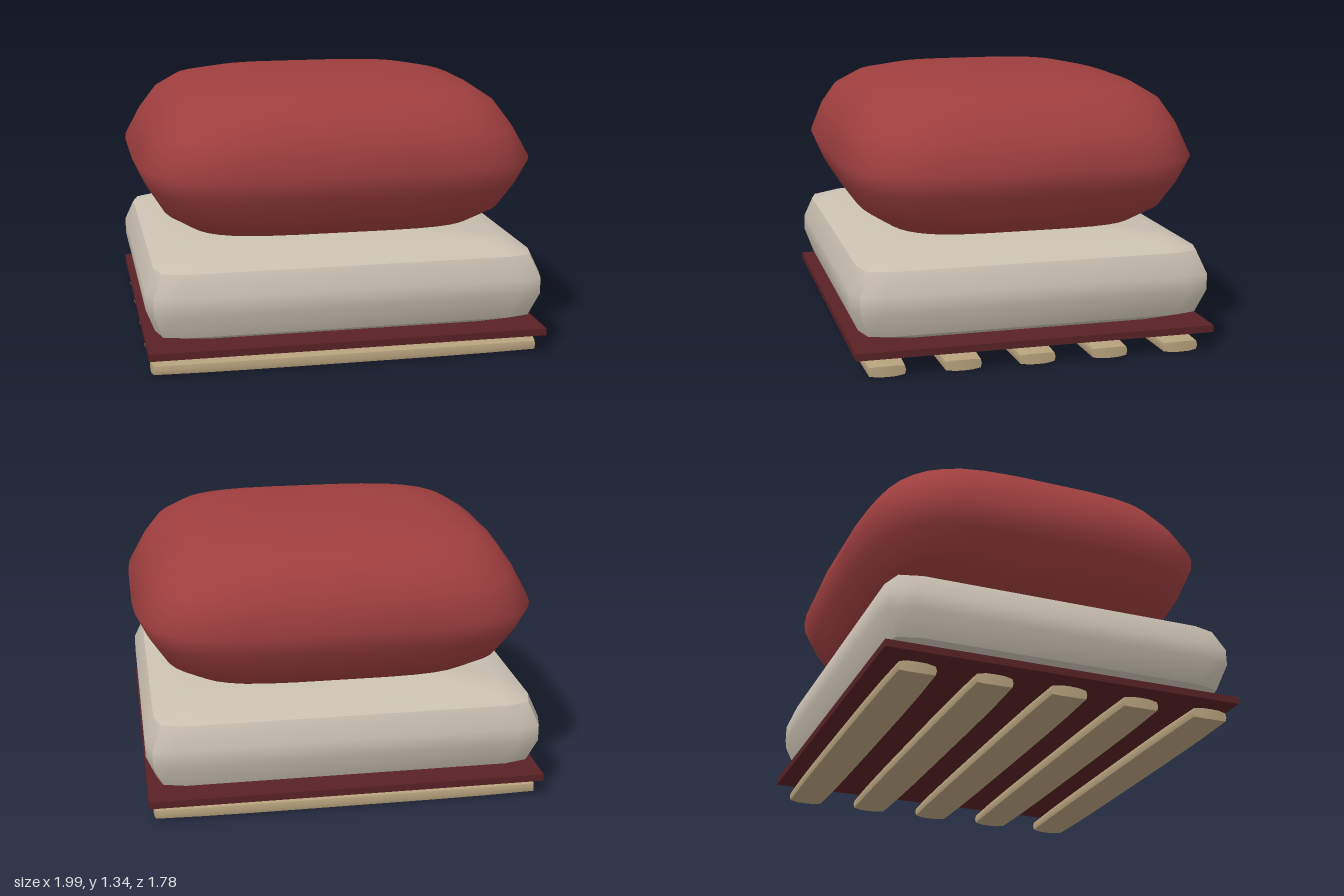
import * as THREE from 'three';
import { toCreasedNormals } from 'three/addons/utils/BufferGeometryUtils.js';

const mat = (name, color) => {
  const m = new THREE.MeshStandardMaterial({ color });
  m.name = name;
  return m;
};

// Closed loft through horizontal rings; each ring lists [x, z] anticlockwise from above
function loft(rings) {
  const n = rings[0].points.length;
  const pos = [];
  const index = [];
  for (const { y, points } of rings) for (const [x, z] of points) pos.push(x, y, z);
  for (let r = 0; r < rings.length - 1; r++) {
    for (let i = 0; i < n; i++) {
      const a = r * n + i, b = r * n + (i + 1) % n;
      index.push(a, b, b + n, a, b + n, a + n);
    }
  }
  // End caps
  const last = rings.length - 1;
  const bottom = pos.length / 3, top = bottom + 1;
  pos.push(0, rings[0].y, 0, 0, rings[last].y, 0);
  for (let i = 0; i < n; i++) {
    const j = (i + 1) % n;
    index.push(j, i, bottom, last * n + i, last * n + j, top);
  }
  const g = new THREE.BufferGeometry();
  g.setAttribute('position', new THREE.Float32BufferAttribute(pos, 3));
  g.setIndex(index);
  g.computeVertexNormals();
  return g;
}

// Rounded-square outline
function superellipse(rx, rz, n, count = 40) {
  const f = v => Math.sign(v) * Math.pow(Math.abs(v), 2 / n);
  return Array.from({ length: count }, (_, i) => {
    const a = ((i + 0.5) / count) * Math.PI * 2;
    return [rx * f(Math.cos(a)), -rz * f(Math.sin(a))];
  });
}

// Rectangle with bowed sides and sharp corners
function bowedRect(rx, rz) {
  const cx = rx - 0.03, cz = rz - 0.03, sx = rx - 0.14, sz = rz - 0.14;
  const half = [[rx, -sz], [rx, sz], [cx, cz], [sx, rz], [-sx, rz], [-cx, cz]];
  return [...half, ...half.map(([x, v]) => [-x, -v])].map(([x, v]) => [x, -v]);
}

// Wooden slat, a little thinner along its edges and narrower at its ends
function slatGeometry() {
  const L = 1.91, H = 0.058, W = 0.2;
  const g = new THREE.BoxGeometry(L, H, W, 8, 2, 4);
  const p = g.attributes.position;
  for (let i = 0; i < p.count; i++) {
    const u = p.getX(i) / (L / 2), v = p.getY(i) / (H / 2), w = p.getZ(i) / (W / 2);
    p.setXYZ(i,
      p.getX(i) * (1 - 0.01 * w * w),
      p.getY(i) * (1 - 0.2 * w ** 4) * (1 - 0.1 * u ** 4),
      p.getZ(i) * (1 - 0.06 * v * v) * (1 - 0.1 * u ** 4));
  }
  return toCreasedNormals(g, 0.6);
}

export function createModel() {
  const model = new THREE.Group();
  model.name = 'cushionedSeat';
  const red = mat('cushion red', 0x9e3e3e);
  const cream = mat('mattress cream', 0xc9c0b1);
  const darkRed = mat('board dark red', 0x592226);
  const tan = mat('slat tan', 0xb8a27d);

  const add = (name, geometry, material, x, y, z) => {
    const m = new THREE.Mesh(geometry, material);
    m.name = name;
    m.position.set(x, y, z);
    model.add(m);
  };

  // Plump cushion: [y, half width, half depth, squareness]
  const cushion = [
    [0.55, 0.3, 0.3, 4], [0.556, 0.5, 0.44, 4.3], [0.61, 0.74, 0.64, 4.3],
    [0.69, 0.86, 0.76, 4.3], [0.82, 0.94, 0.84, 4.3], [0.94, 0.995, 0.89, 4.3],
    [1.09, 0.92, 0.84, 4], [1.2, 0.845, 0.775, 3.7], [1.27, 0.74, 0.66, 3.6],
    [1.31, 0.56, 0.48, 3.6], [1.33, 0.25, 0.22, 3], [1.337, 0.06, 0.06, 2],
  ];
  add('cushion', loft(cushion.map(([y, rx, rz, n]) => ({ y, points: superellipse(rx, rz, n) }))),
    red, -0.003, 0, -0.003);

  // Mattress with softly bowed faces: [y, half width, half depth]
  const mattress = [
    [0.14, 0.81, 0.72], [0.19, 0.93, 0.84], [0.31, 0.975, 0.882],
    [0.39, 0.975, 0.882], [0.5, 0.93, 0.84], [0.55, 0.81, 0.72],
  ];
  const mattressGeometry = loft(mattress.map(([y, rx, rz]) => ({ y, points: bowedRect(rx, rz) })));
  add('mattress', toCreasedNormals(mattressGeometry, 0.62), cream, -0.01, 0, 0.003);

  // Base board
  add('baseBoard', new THREE.BoxGeometry(1.95, 0.035, 1.765), darkRed, -0.01, 0.118, 0.003);

  // Five slats underneath
  const slat = slatGeometry();
  for (let i = 0; i < 5; i++) add('slat' + (i + 1), slat, tan, -0.015, 0.031, 0.735 - i * 0.364);

  return model;
}
